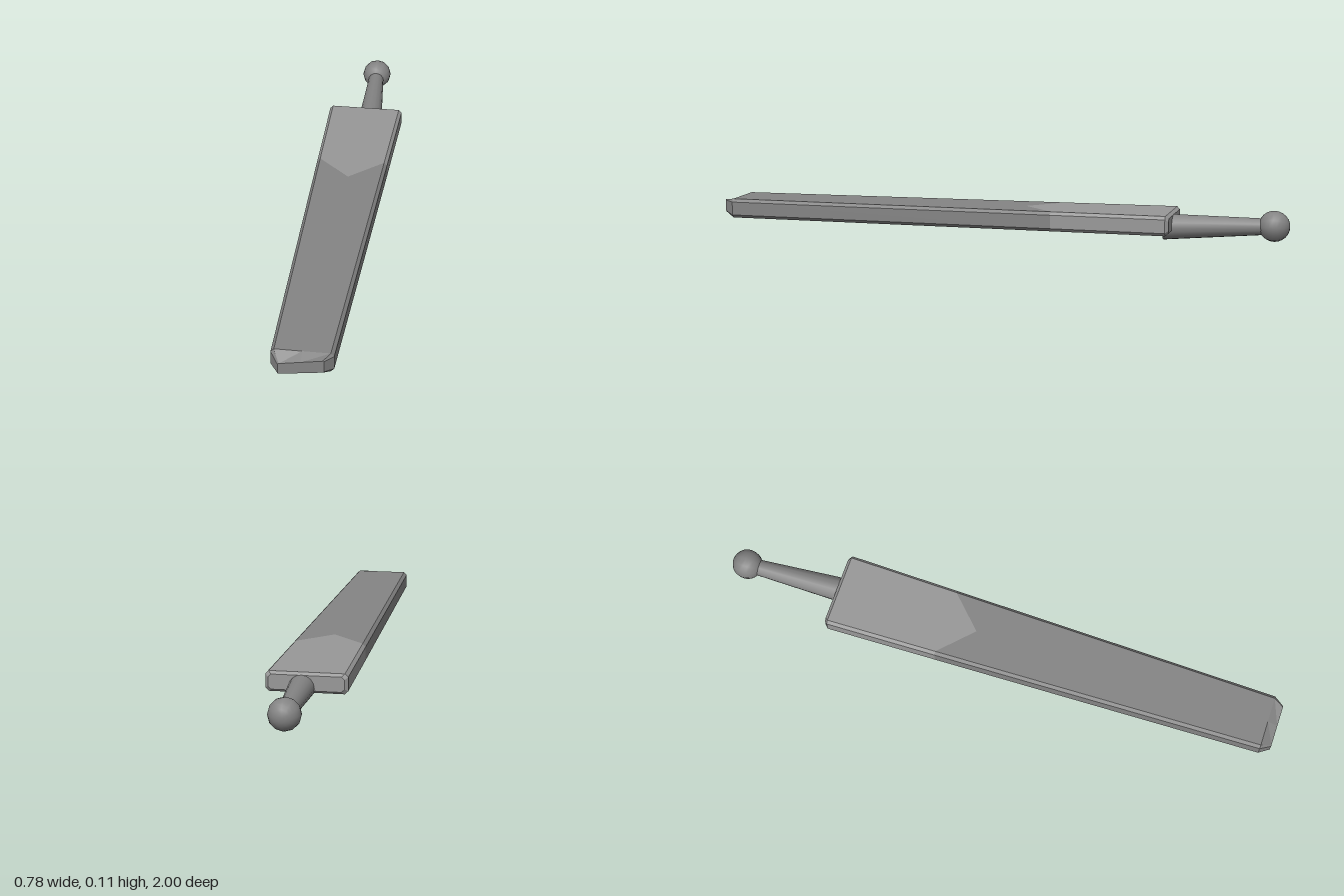
import * as THREE from 'three';

const material = (color, flatShading = false) => new THREE.MeshStandardMaterial({ color, flatShading });
const DARK = 0x848484, LIGHT = 0x989898;

// Section with cut corners, counter-clockwise seen from +z; midZ moves its centre line.
function section(z, w, y0, y1, c, midZ = z) {
  return [[0, y1, midZ], [c - w, y1, z], [-w, y1 - c, z], [-w, y0 + c, z], [c - w, y0, z],
    [0, y0, midZ], [w - c, y0, z], [w, y0 + c, z], [w, y1 - c, z], [w - c, y1, z]];
}

// Skin the rings from back to front, closing the chosen ends.
function loft(rings, closeBack, closeFront) {
  const n = rings[0].length, pos = [];
  const tri = (a, b, c) => pos.push(...a, ...b, ...c);
  for (let r = 0; r < rings.length - 1; r++) {
    const [p, q] = [rings[r], rings[r + 1]];
    for (let i = 0; i < n; i++) {
      const j = (i + 1) % n;
      tri(p[i], p[j], q[j]);
      tri(p[i], q[j], q[i]);
    }
  }
  const back = rings[0], front = rings[rings.length - 1];
  for (let i = 1; i < n - 1; i++) {
    if (closeBack) tri(back[0], back[i + 1], back[i]);
    if (closeFront) tri(front[0], front[i], front[i + 1]);
  }
  const geo = new THREE.BufferGeometry();
  geo.setAttribute('position', new THREE.Float32BufferAttribute(pos, 3));
  geo.computeVertexNormals();
  return geo;
}

export function createModel() {
  const model = new THREE.Group();
  model.name = 'bat';
  const bat = new THREE.Group();
  bat.name = 'angledBat';
  bat.rotation.y = -0.322;
  bat.position.set(0.019, 0, 0.006);
  model.add(bat);
  const add = (name, geo, mat) => {
    const mesh = new THREE.Mesh(geo, mat);
    mesh.name = name;
    bat.add(mesh);
    return mesh;
  };

  // Paler shoulder of the blade, ending in a V on both faces
  const seam = section(-0.228, 0.131, 0.03, 0.1, 0.011, -0.111);
  add('bladeShoulder', loft([
    section(-0.65, 0.129, 0.039, 0.091, 0.01),
    section(-0.639, 0.14, 0.03, 0.1, 0.011),
    seam,
  ], true, false), material(LIGHT, true));

  // Darker tapered blade with bevelled edges and a slightly twisted toe
  const toe = section(1.021, 0.075, 0.03, 0.095, 0.004).map(([x, y, z]) => {
    const t = (x + 0.075) / 0.15, s = (y - 0.03) / 0.065;
    return [x, THREE.MathUtils.lerp(0.03 + 0.02 * t, 0.07 + 0.025 * t, s), z];
  });
  add('blade', loft([seam, section(0.984, 0.103, 0.03, 0.1, 0.011), toe], false, true),
    material(DARK, true));

  // Tapered handle running back from the blade
  const start = new THREE.Vector3(0.018, 0.047, -0.614), end = new THREE.Vector3(0, 0.058, -0.99);
  const dir = end.clone().sub(start);
  const handle = add('handle', new THREE.CylinderGeometry(0.028, 0.046, dir.length(), 16), material(DARK));
  handle.position.copy(start).add(end).multiplyScalar(0.5);
  handle.quaternion.setFromUnitVectors(new THREE.Vector3(0, 1, 0), dir.normalize());

  // Round knob at the handle's end
  const knob = add('knob', new THREE.SphereGeometry(0.055, 12, 12), material(DARK));
  knob.rotation.x = Math.PI / 2;
  knob.position.set(0, 0.06, -1.003);

  return model;
}
